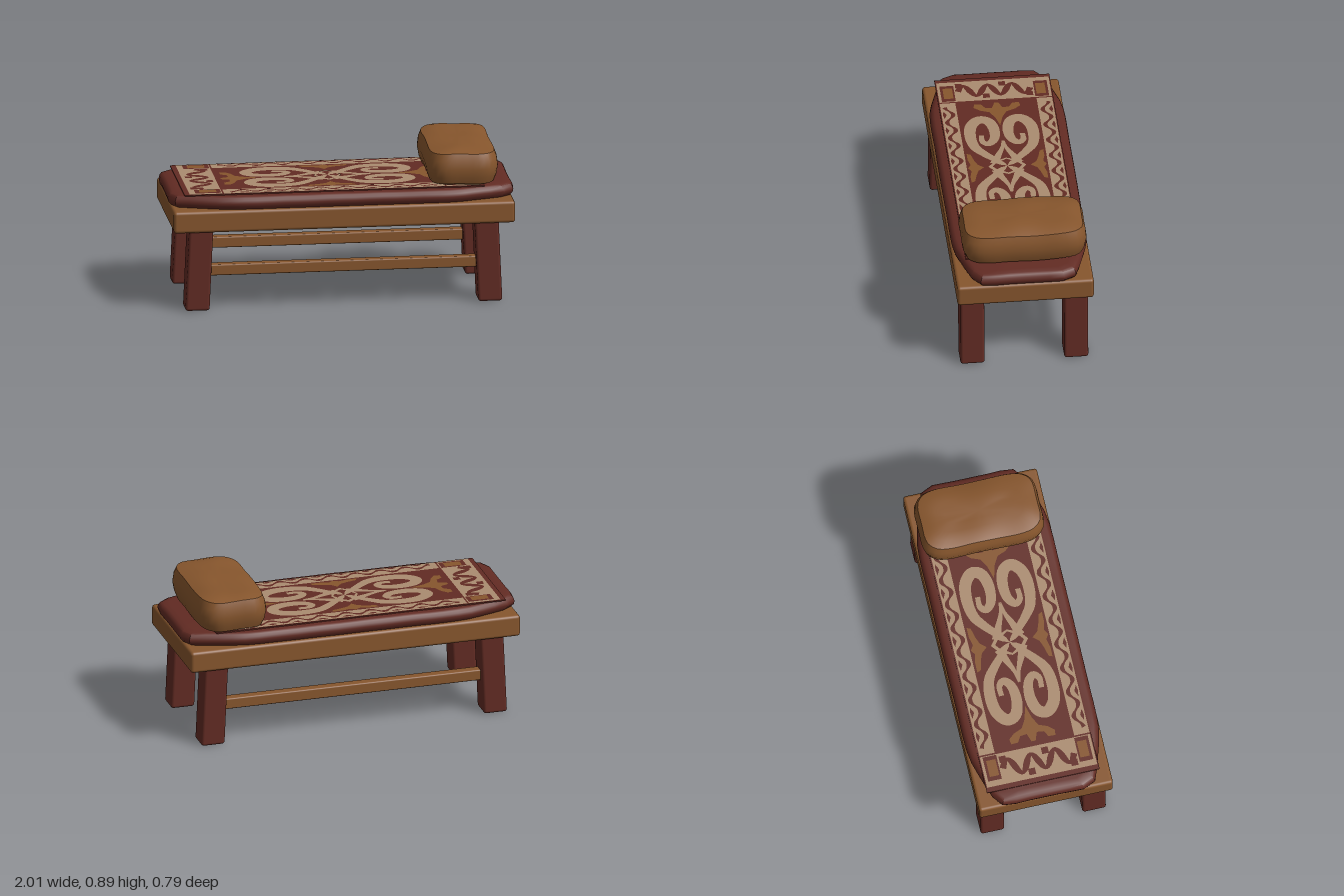
import * as THREE from 'three';
import { toCreasedNormals } from 'three/addons/utils/BufferGeometryUtils.js';
import { RoundedBoxGeometry } from 'three/addons/geometries/RoundedBoxGeometry.js';

const material = (name, color) => {
  const m = new THREE.MeshStandardMaterial({ color });
  m.name = name;
  return m;
};

// Closed cushion: a mirrored quarter outline, stacked in rings of [y, inset]
function cushion(quarter, hx, hz, levels, lump) {
  const flip = (sx, sz) => quarter.map(([x, z]) => new THREE.Vector3(x * sx, 0, z * sz));
  const loop = [...flip(1, 1), ...flip(-1, 1).reverse(), ...flip(-1, -1), ...flip(1, -1).reverse()];
  const n = 64;
  const ring = new THREE.CatmullRomCurve3(loop, true, 'centripetal').getSpacedPoints(n).slice(0, n);
  const pos = [], index = [];
  for (const [y, inset] of levels) {
    for (const p of ring) {
      const x = p.x * (1 - inset / hx), z = p.z * (1 - inset / hz);
      pos.push(x, y + lump * (Math.sin(x * 23 + z * 9) + Math.sin(z * 19 - x * 7 + 1)), z);
    }
  }
  for (let j = 0; j < levels.length - 1; j++) {
    for (let i = 0; i < n; i++) {
      const a = j * n + i, b = j * n + (i + 1) % n;
      index.push(a, a + n, b, b, a + n, b + n);
    }
  }
  const last = (levels.length - 1) * n, bottom = pos.length / 3;
  pos.push(0, levels[0][0], 0, 0, levels[levels.length - 1][0], 0);
  for (let i = 0; i < n; i++) {
    const k = (i + 1) % n;
    index.push(bottom, i, k, bottom + 1, last + k, last + i);
  }
  const g = new THREE.BufferGeometry();
  g.setAttribute('position', new THREE.Float32BufferAttribute(pos, 3));
  g.setIndex(index);
  return toCreasedNormals(g, 0.6);
}

// Flat outline of a band that follows a curve, with the width given by w(t)
function band(points, w, steps = 48) {
  const curve = new THREE.SplineCurve(points.map(([x, z]) => new THREE.Vector2(x, z)));
  const a = [], b = [];
  for (let i = 0; i <= steps; i++) {
    const t = i / steps, p = curve.getPoint(t), d = curve.getTangent(t), h = w(t) / 2;
    a.push([p.x - d.y * h, p.y + d.x * h]);
    b.unshift([p.x + d.y * h, p.y - d.x * h]);
  }
  return [...a, ...b];
}

const rect = (x0, x1, z0, z1) => [[x0, z0], [x1, z0], [x1, z1], [x0, z1]];

export function createModel() {
  const model = new THREE.Group();
  const wood = material('warm wood', 0x87562d);
  const red = material('dark red', 0x622b23);
  const cream = material('woven cream', 0xab8c70);

  const add = (name, geometry, mat, x = 0, y = 0, z = 0, parent = model) => {
    const mesh = new THREE.Mesh(geometry, mat);
    mesh.name = name;
    mesh.position.set(x, y, z);
    parent.add(mesh);
    return mesh;
  };

  // Bench frame
  add('benchTop', new RoundedBoxGeometry(1.98, 0.128, 0.79, 3, 0.018), wood, 0, 0.534, 0);
  for (const sz of [1, -1]) {
    add('stretcher', new RoundedBoxGeometry(1.62, 0.065, 0.06, 2, 0.008), wood, 0, 0.23, sz * 0.3);
    for (const sx of [1, -1]) {
      const leg = new RoundedBoxGeometry(0.14, 0.5, 0.14, 3, 0.016);
      leg.applyMatrix4(new THREE.Matrix4().set(
        1, -sx * 0.045, 0, 0, 0, 1, 0, 0, 0, 0, 1, 0, 0, 0, 0, 1));
      add('leg', leg, red, sx * 0.838, 0.25, sz * 0.3);
    }
  }

  // Mattress with cut corners
  add('mattress', cushion(
    [[1, 0.1], [1, 0.24], [0.98, 0.285], [0.92, 0.312], [0.8, 0.35], [0.67, 0.384], [0.3, 0.39]],
    1, 0.39,
    [[0.592, 0.03], [0.6, 0.018], [0.617, 0.004], [0.635, 0], [0.652, 0.005],
      [0.666, 0.014], [0.673, 0.028], [0.676, 0.06]], 0.0006), red);

  // Pillow
  add('pillow', cushion(
    [[0.205, 0.08], [0.205, 0.23], [0.19, 0.3], [0.15, 0.346], [0.1, 0.36], [0.04, 0.36]],
    0.205, 0.36,
    [[0.681, 0.05], [0.692, 0.022], [0.73, 0.008], [0.78, 0], [0.83, 0.006],
      [0.869, 0.02], [0.881, 0.06], [0.888, 0.11], [0.89, 0.16]], 0.0025), wood, 0.705, 0, -0.01);

  // Rug, with its thin woven pattern centred on the rug
  const rug = new THREE.Group();
  rug.name = 'rug';
  rug.position.set(-0.05, 0, -0.002);
  model.add(rug);
  add('rugCloth', new THREE.BoxGeometry(1.74, 0.007, 0.665), red, 0, 0.6785, 0, rug);

  // A pattern piece, repeated for each mirror [sx, sz]
  const piece = (name, outline, mat, layer, mirrors) => {
    for (const [sx, sz] of mirrors) {
      const shape = new THREE.Shape(outline.map(([x, z]) => new THREE.Vector2(x * sx, -z * sz)));
      const g = new THREE.ShapeGeometry(shape);
      g.rotateX(-Math.PI / 2);
      add(name, g, mat, 0, 0.6825 + layer * 0.0012, 0, rug);
    }
  };
  const once = [[1, 1]], ends = [[1, 1], [-1, 1]], sides = [[1, 1], [1, -1]];
  const four = [[1, 1], [-1, 1], [1, -1], [-1, -1]];

  // Border bands and corner squares
  piece('sideBorder', rect(-0.64, 0.64, 0.235, 0.325), cream, 1, sides);
  piece('endBorder', rect(-0.84, -0.65, -0.325, 0.325), cream, 1, ends);
  piece('cornerSquare', rect(-0.805, -0.655, 0.23, 0.31), red, 2, four);
  piece('cornerPatch', rect(-0.78, -0.68, 0.24, 0.295), wood, 3, four);

  // Running vine on the borders
  const sideVine = [], endVine = [];
  for (let i = 0; i <= 64; i++) {
    const a = i / 64;
    sideVine.push([-0.6 + 1.2 * a, 0.28 + 0.021 * Math.cos(a * Math.PI * 16)]);
    endVine.push([-0.745 + 0.05 * Math.sin(a * Math.PI * 6), -0.21 + 0.42 * a]);
  }
  piece('sideVine', band(sideVine, t => 0.019 + 0.007 * Math.cos(t * Math.PI * 32), 128), red, 2, sides);
  piece('endVine', band(endVine, t => 0.03 + 0.008 * Math.cos(t * Math.PI * 12), 96), red, 2, ends);
  for (let i = 0; i < 8; i++) {
    const x = -0.525 + i * 0.15;
    piece('sideLeaf', [[x - 0.035, 0.312], [x, 0.296], [x + 0.035, 0.312], [x, 0.318]], red, 2, sides);
  }
  for (const [x, z] of [[-0.8, -0.05], [-0.69, 0.05], [-0.8, 0.2], [-0.69, -0.2]]) {
    piece('endLeaf', [[x - 0.02, z - 0.02], [x + 0.02, z - 0.02], [x + 0.02, z + 0.02], [x - 0.02, z + 0.02]], red, 2, ends);
  }

  // Four large scrolls meeting in the middle
  const scroll = band(
    [[0, 0.035], [-0.06, 0.06], [-0.13, 0.12], [-0.2, 0.167], [-0.3, 0.183], [-0.4, 0.17], [-0.46, 0.12],
      [-0.44, 0.065], [-0.36, 0.04], [-0.27, 0.048], [-0.225, 0.085], [-0.25, 0.118], [-0.31, 0.118]],
    t => 0.03 + 0.04 * Math.sin(Math.PI * Math.min(1, t * 1.05)), 72);
  piece('scroll', scroll, cream, 1, four);
  piece('scrollTail', band([[-0.03, 0.07], [-0.1, 0.045], [-0.18, 0.012], [-0.25, 0.004]],
    t => 0.05 * (1 - t) + 0.006, 16), cream, 1, four);
  piece('middleField', [[-0.08, 0], [-0.05, 0.07], [0, 0.11], [0.05, 0.07], [0.08, 0],
    [0.05, -0.07], [0, -0.11], [-0.05, -0.07]], cream, 2, once);

  // Red cross in the middle
  const bud = [[0, 0], [0.03, 0.012], [0.05, 0.028], [0.068, 0], [0.05, -0.028], [0.03, -0.012]];
  piece('crossBud', bud, red, 3, ends);
  piece('crossBud', bud.map(([x, z]) => [z, x * 1.25]), red, 3, sides);

  // Brown trefoils at the ends and sides of the field
  piece('endTrefoil', [[-0.4, 0], [-0.48, 0.022], [-0.53, 0.05], [-0.55, 0.1], [-0.58, 0.135], [-0.612, 0.13],
    [-0.61, 0.09], [-0.575, 0.07], [-0.57, 0.03], [-0.62, 0.012], [-0.62, -0.012], [-0.57, -0.03],
    [-0.575, -0.07], [-0.61, -0.09], [-0.612, -0.13], [-0.58, -0.135], [-0.55, -0.1], [-0.53, -0.05],
    [-0.48, -0.022]], wood, 1, ends);
  piece('sideTrefoil', [[0, 0.135], [0.03, 0.17], [0.07, 0.185], [0.13, 0.2], [0.14, 0.222], [0.08, 0.222],
    [0.03, 0.21], [0, 0.228], [-0.03, 0.21], [-0.08, 0.222], [-0.14, 0.222], [-0.13, 0.2],
    [-0.07, 0.185], [-0.03, 0.17]], wood, 1, sides);

  return model;
}
